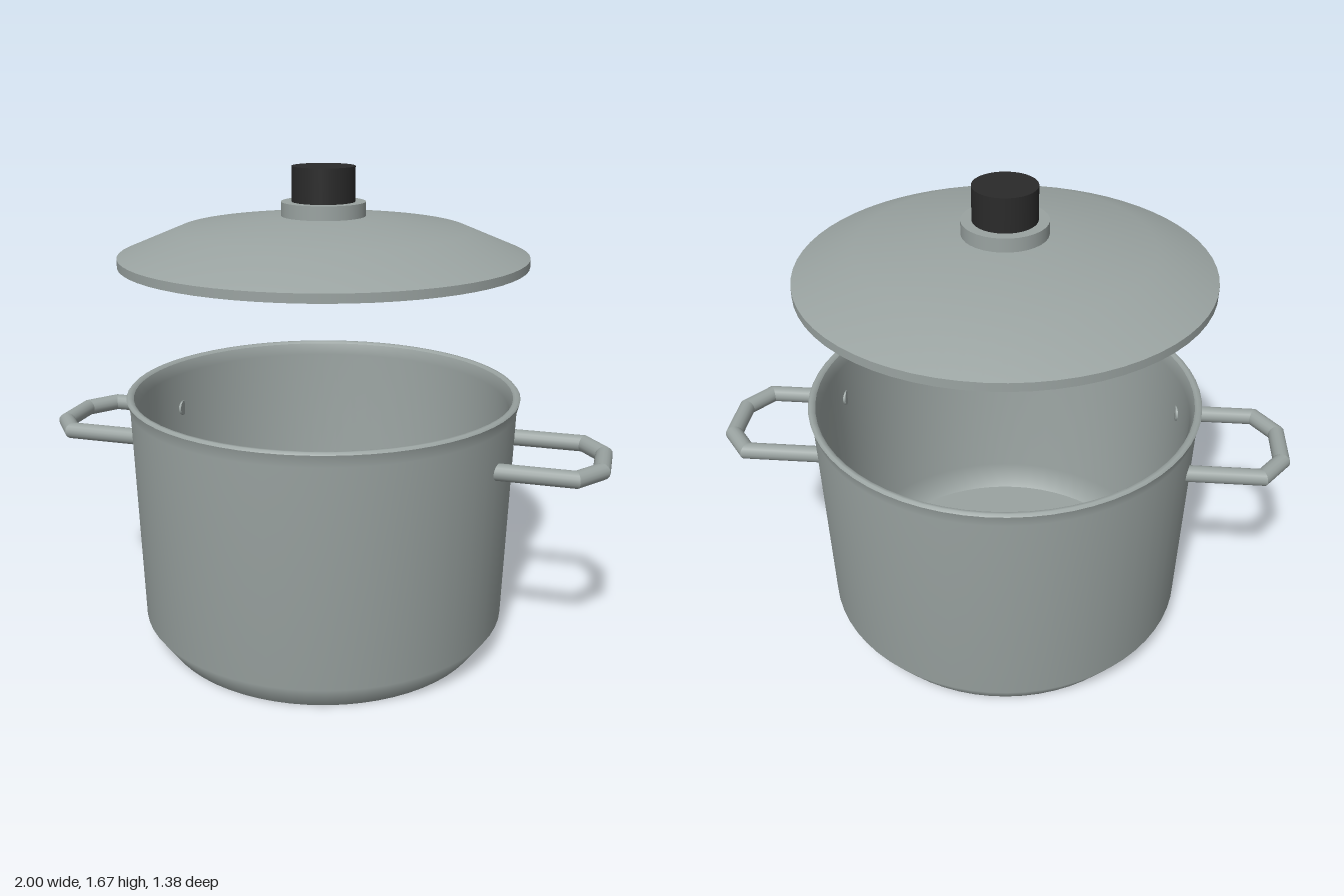
import * as THREE from 'three';
import { mergeGeometries } from 'three/addons/utils/BufferGeometryUtils.js';

const SEGMENTS = 64;
const V2 = (x, y) => new THREE.Vector2(x, y);

// Lathe made of several profile runs; each run is smooth, with a sharp edge between runs
function latheRuns(runs) {
  return mergeGeometries(runs.map(run =>
    new THREE.LatheGeometry(run.map(([r, y]) => V2(r, y)), SEGMENTS)));
}

// Round bar through points in the xz plane, with mitred corners
function mitredBar(points, y, radius) {
  const up = new THREE.Vector3(0, 1, 0);
  const pts = points.map(([x, z]) => new THREE.Vector3(x, y, z));
  const dirs = pts.slice(1).map((p, i) => p.clone().sub(pts[i]).normalize());
  const mitre = (i, j) => (dirs[i] && dirs[j]) ? Math.tan(dirs[i].angleTo(dirs[j]) / 2) : 0;
  return mergeGeometries(dirs.map((d, i) => {
    const length = pts[i].distanceTo(pts[i + 1]);
    const g = new THREE.CylinderGeometry(radius, radius, length, 16);
    const pos = g.attributes.position;
    const kStart = mitre(i - 1, i), kEnd = mitre(i, i + 1);
    for (let v = 0; v < pos.count; v++) {
      const a = pos.getX(v), t = pos.getY(v);
      pos.setY(v, t + (t > 0 ? a * kEnd : -a * kStart));
    }
    const side = d.clone().cross(up);
    const mid = pts[i].clone().add(pts[i + 1]).multiplyScalar(0.5);
    return g.applyMatrix4(new THREE.Matrix4().makeBasis(side, d, up).setPosition(mid));
  }));
}

export function createModel() {
  const model = new THREE.Group();
  model.name = 'cookingPot';
  const steel = new THREE.MeshStandardMaterial({ color: 0x9aa3a1 });
  steel.name = 'steel';
  const black = new THREE.MeshStandardMaterial({ color: 0x2a2a2a });
  black.name = 'blackPlastic';

  const add = (name, geometry, material, parent = model) => {
    const mesh = new THREE.Mesh(geometry, material);
    mesh.name = name;
    parent.add(mesh);
    return mesh;
  };

  // Hollow pot: base, outer wall, rim, inner wall and floor
  add('potBody', latheRuns([
    [[0, 0], [0.585, 0]],
    [[0.585, 0], [0.652, 0.095], [0.674, 0.86], [0.685, 0.902]],
    [[0.685, 0.902], [0.678, 0.91], [0.668, 0.91], [0.66, 0.902]],
    [[0.66, 0.902], [0.647, 0.86], [0.63, 0.11], [0.57, 0.03]],
    [[0.57, 0.03], [0, 0.03]],
  ]), steel);

  // Side handles
  const handle = mitredBar([
    [0.615, 0.183], [0.897, 0.183], [0.971, 0.085],
    [0.971, -0.085], [0.897, -0.183], [0.615, -0.183],
  ], 0.725, 0.029);
  add('leftHandle', handle, steel);
  add('rightHandle', handle, steel).rotation.y = Math.PI;

  // Lid floating above the pot
  const lid = new THREE.Group();
  lid.name = 'lid';
  model.add(lid);
  add('lidDome', latheRuns([
    [[0, 1.357], [0.692, 1.357]],
    [[0.692, 1.357], [0.692, 1.386]],
    [[0.692, 1.386], [0.49, 1.47], [0.19, 1.51], [0, 1.515]],
  ]), steel, lid);

  // Collar and knob
  add('knobCollar', new THREE.CylinderGeometry(0.143, 0.143, 0.055, 32), steel, lid)
    .position.y = 1.531;
  add('knob', new THREE.CylinderGeometry(0.107, 0.107, 0.12, 32), black, lid)
    .position.y = 1.615;

  return model;
}
